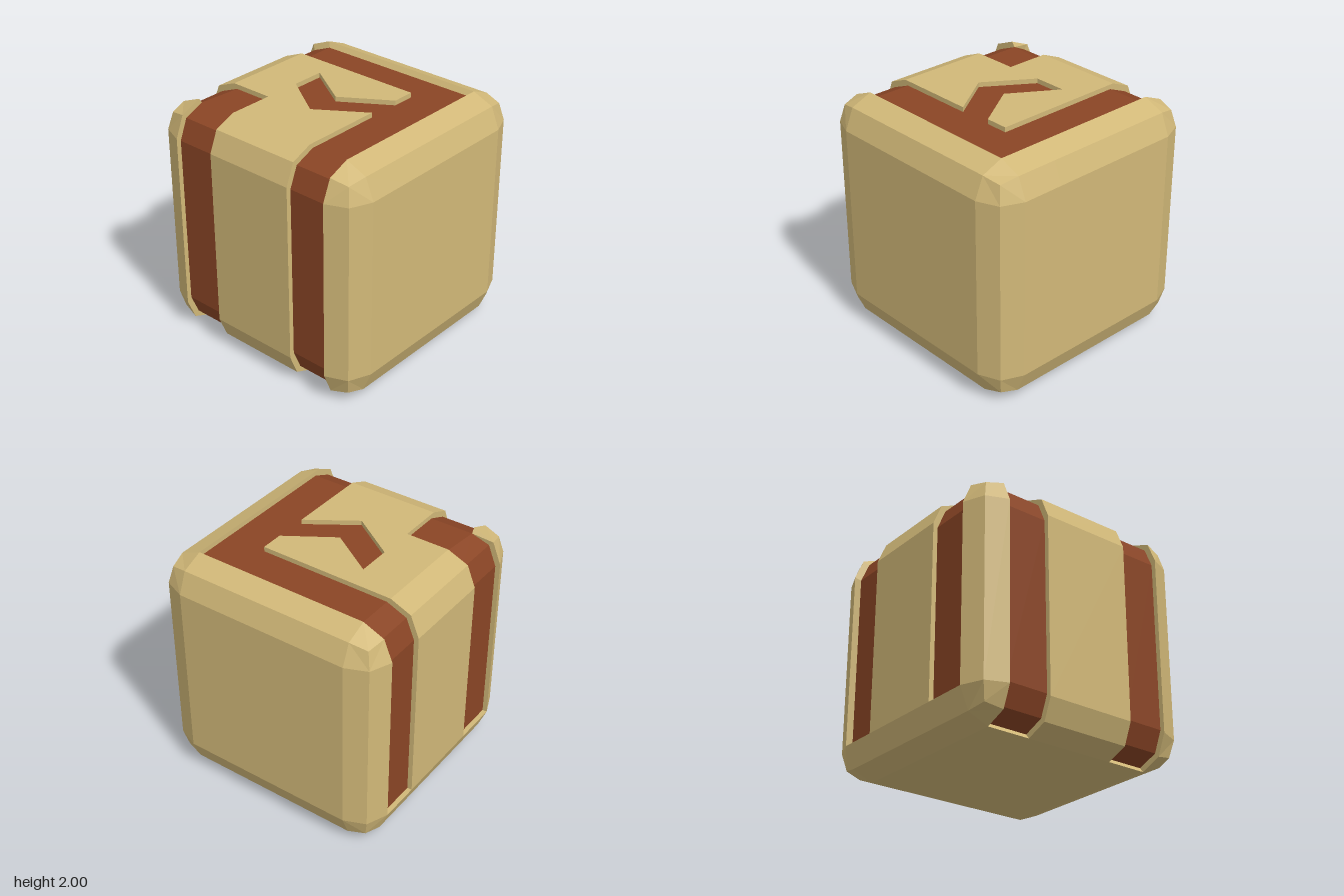
import * as THREE from 'three';

const CORE = 0.75, RADIUS = 0.25, INSET = 0.96;

// Grid lines per axis: bevel limits plus the edges of the channels
const CUTS = [
  [-1, -0.75, -0.38, 0.4, 0.75, 1],
  [-1, -0.75, 0.75, 1],
  [-1, -0.75, -0.41, 0.37, 0.75, 1],
];

// Point on a unit cube -> point on the bevelled block
function outer(p) {
  const core = p.map((c) => THREE.MathUtils.clamp(c, -CORE, CORE));
  const d = new THREE.Vector3(...p.map((c, i) => c - core[i])).setLength(RADIUS);
  return [core[0] + d.x, core[1] + d.y, core[2] + d.z];
}

// The same point sunk to the channel floor
function inner(p) {
  const [x, y, z] = outer(p);
  const onSide = x < -0.751;
  const sinkX = onSide || (x < -0.74 && z < 0.74);
  const sinkY = Math.abs(y) > 0.74 && !(onSide && y < 0);
  const sinkZ = z < -0.74 || (z > 0.74 && !onSide);
  return [x * (sinkX ? INSET : 1), y * (sinkY ? INSET : 1), z * (sinkZ ? INSET : 1)];
}

// Is the cell around this cube point part of a channel?
function isChannel([x, y, z]) {
  const leftBand = x > -0.75 && x < -0.38, rightBand = x > 0.4 && x < 0.75;
  const backBand = z > -0.75 && z < -0.41, frontBand = z > 0.37 && z < 0.75;
  if (z === 1) return leftBand || rightBand;
  if (y === -1) return z > 0.75 && (leftBand || rightBand);
  if (x === -1) return y > -0.75 && (backBand || frontBand);
  if (y === 1) {
    const chevronCell = x > -0.38 && x < 0.4 && z > -0.41 && z < 0.37;
    return (rightBand && z > -0.75) || (backBand && x < 0.75) || chevronCell
      || (frontBand && x < -0.38) || (leftBand && z > 0.37);
  }
  return false;
}

function quad(list, a, b, c, d) {
  for (const p of [a, b, c, a, c, d]) list.push(...p);
}

function makeMesh(name, positions, material) {
  const geometry = new THREE.BufferGeometry();
  geometry.setAttribute('position', new THREE.Float32BufferAttribute(positions, 3));
  geometry.computeVertexNormals();
  const mesh = new THREE.Mesh(geometry, material);
  mesh.name = name;
  mesh.position.y = 1;
  return mesh;
}

export function createModel() {
  const group = new THREE.Group();
  group.name = 'carvedBlock';
  const sand = new THREE.MeshStandardMaterial({ color: 0xd1b878 });
  sand.name = 'sand';
  const rust = new THREE.MeshStandardMaterial({ color: 0x8a4525 });
  rust.name = 'rust';

  const skin = [], floor = [], walls = [];
  for (let axis = 0; axis < 3; axis++) {
    for (const side of [-1, 1]) {
      const ua = (axis + 1) % 3, va = (axis + 2) % 3;
      const U = CUTS[ua], V = CUTS[va];
      const point = (u, v) => {
        const p = [0, 0, 0];
        p[axis] = side;
        p[ua] = u;
        p[va] = v;
        return p;
      };
      const channelAt = (i, j) => isChannel(point((U[i] + U[i + 1]) / 2, (V[j] + V[j + 1]) / 2));

      for (let i = 0; i < U.length - 1; i++) {
        for (let j = 0; j < V.length - 1; j++) {
          const corners = [
            point(U[i], V[j]), point(U[i + 1], V[j]),
            point(U[i + 1], V[j + 1]), point(U[i], V[j + 1]),
          ];
          const order = side > 0 ? [0, 1, 2, 3] : [0, 3, 2, 1];
          const c = order.map((k) => corners[k]);
          if (!channelAt(i, j)) {
            quad(skin, ...c.map(outer));
            continue;
          }
          quad(floor, ...c.map(inner));

          // Channel walls wherever the next cell on this face is raised
          const next = [[i, j - 1], [i + 1, j], [i, j + 1], [i - 1, j]];
          next.forEach(([ni, nj], k) => {
            const offFace = ni < 0 || nj < 0 || ni > U.length - 2 || nj > V.length - 2;
            if (offFace || channelAt(ni, nj)) return;
            let a = corners[k], b = corners[(k + 1) % 4];
            if (side < 0) [a, b] = [b, a];
            quad(walls, inner(b), inner(a), outer(a), outer(b));
          });
        }
      }
    }
  }
  group.add(makeMesh('blockSkin', skin, sand));
  group.add(makeMesh('channelFloor', floor, rust));
  group.add(makeMesh('channelWalls', walls, sand));

  // Raised plates on either side of the chevron channel, as [x, z] outlines
  const plates = {
    chevronBackPlate: [[-0.38, -0.41], [0.4, -0.41], [0.4, -0.22], [0.01, 0.03], [-0.38, -0.22]],
    chevronFrontPlate: [[-0.38, 0.06], [0.01, 0.32], [0.4, 0.06], [0.4, 0.37], [-0.38, 0.37]],
  };
  for (const [name, outline] of Object.entries(plates)) {
    const shape = new THREE.Shape(outline.map(([x, z]) => new THREE.Vector2(x, -z)));
    const geometry = new THREE.ExtrudeGeometry(shape, { depth: 0.04, bevelEnabled: false });
    geometry.rotateX(-Math.PI / 2);
    const plate = new THREE.Mesh(geometry, sand);
    plate.name = name;
    plate.position.y = 1.96;
    group.add(plate);
  }
  return group;
}
